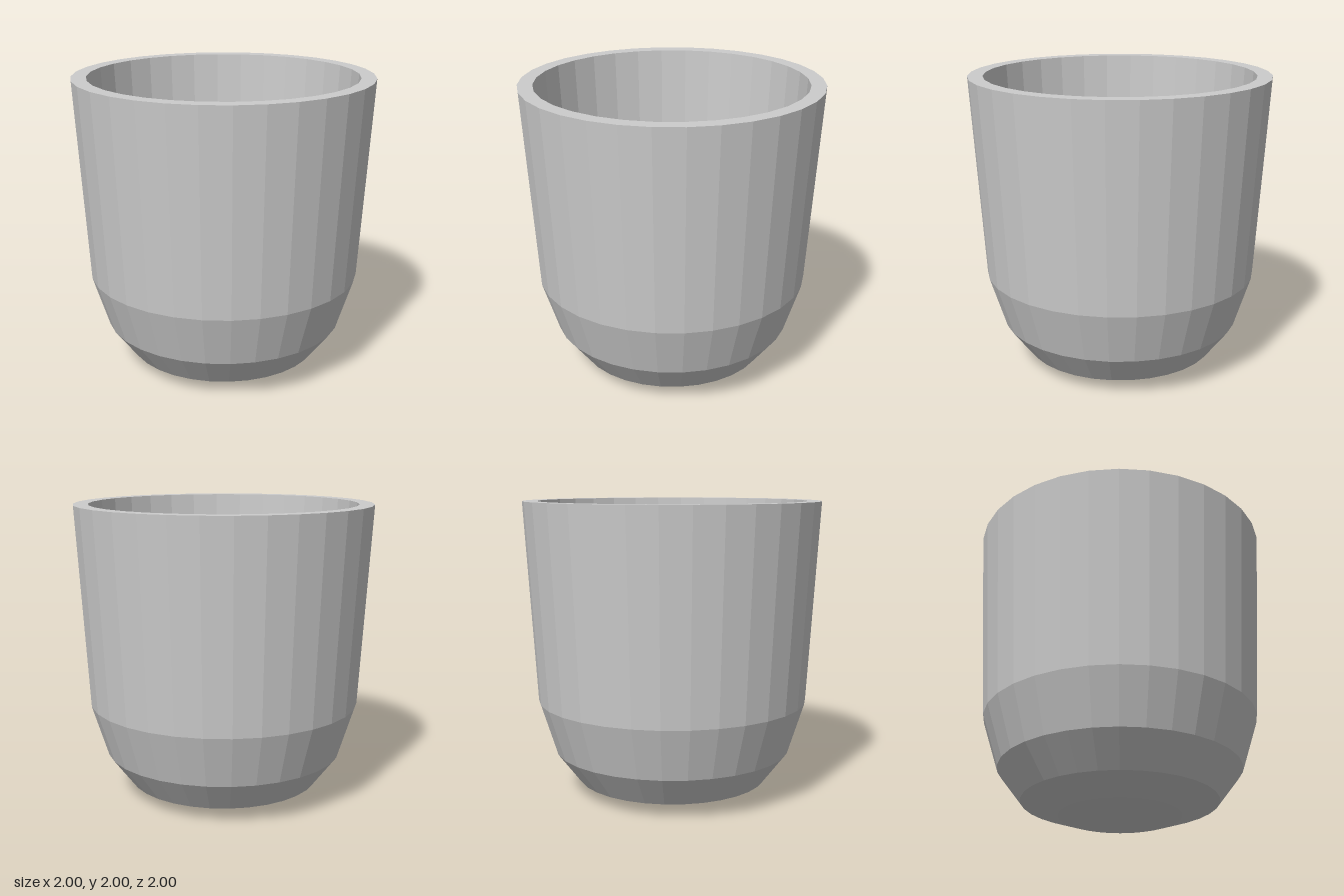
import * as THREE from 'three';

export function createModel() {
  const group = new THREE.Group();
  group.name = 'cup';

  // Closed wall profile [radius, height]: up the outside, over the rim, down the inside
  const profile = [
    [0, 0], [0.4, 0], [0.65, 0.09], [0.81, 0.3], [0.92, 0.65], [1, 2],
    [0.9, 2], [0.83, 0.67], [0.71, 0.35], [0.44, 0.12], [0, 0.12],
  ].map(([r, y]) => new THREE.Vector2(r, y));

  // Faceted cup body
  const body = new THREE.Mesh(
    new THREE.LatheGeometry(profile, 32),
    new THREE.MeshStandardMaterial({ color: 0xcccccc, flatShading: true }),
  );
  body.name = 'cupBody';
  group.add(body);

  return group;
}
